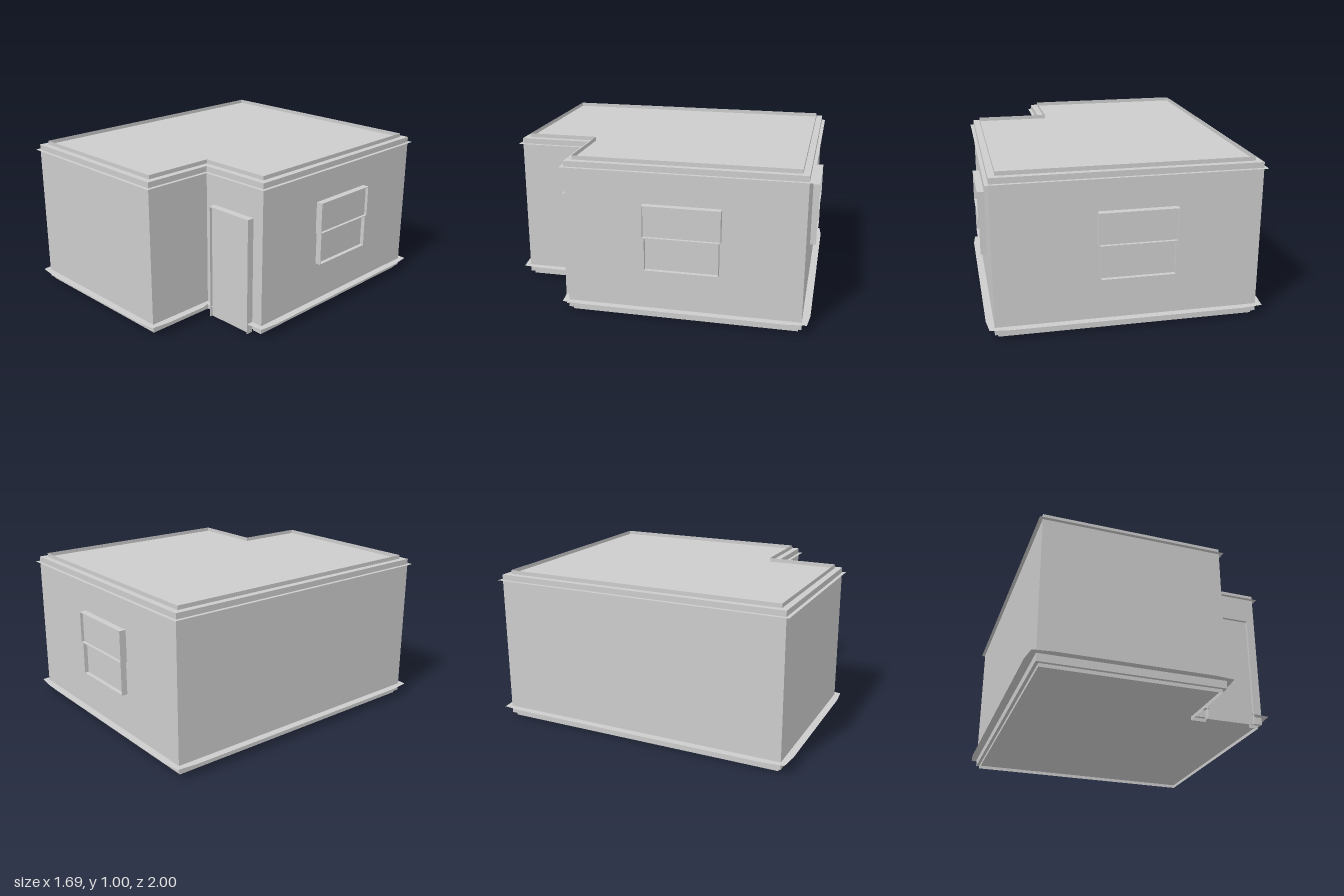
import * as THREE from 'three';

const plaster = new THREE.MeshStandardMaterial({ color: 0xcccccc, side: THREE.DoubleSide });
plaster.name = 'plaster';

// L-shaped plan as [x, z], walked so that outward lies on the right
const PLAN = [[0.8, 0.5], [0.8, -0.95], [-0.8, -0.95], [-0.8, 0.953], [0.33, 0.953], [0.33, 0.5]];
const DOOR = { x0: 0.4, x1: 0.725, top: 0.745 };

function mesh(name, geometry) {
  const m = new THREE.Mesh(geometry, plaster);
  m.name = name;
  return m;
}

function box(name, w, h, d, x, y, z) {
  const m = mesh(name, new THREE.BoxGeometry(w, h, d));
  m.position.set(x, y, z);
  return m;
}

// Adds points near the ends of long runs so the flange can taper at corners
function subdivide(path, closed) {
  const out = [];
  path.forEach((p, i) => {
    out.push(p);
    if (!closed && i === path.length - 1) return;
    const q = path[(i + 1) % path.length];
    const len = Math.hypot(q[0] - p[0], q[1] - p[1]);
    if (len < 0.3) return;
    for (const t of [0.09 / len, 1 - 0.09 / len]) {
      out.push([p[0] + (q[0] - p[0]) * t, p[1] + (q[1] - p[1]) * t]);
    }
  });
  return out;
}

// Thin sheet moulding: sweeps a profile of [outward offset, y, corner scale] along a path
function moulding(name, plan, profile, closed) {
  const path = subdivide(plan, closed);
  const n = path.length;
  const normal = (i) => {
    const a = path[(i + n) % n], b = path[(i + 1) % n];
    const len = Math.hypot(b[0] - a[0], b[1] - a[1]);
    return [-(b[1] - a[1]) / len, (b[0] - a[0]) / len];
  };
  const point = (i, [d, y, cornerScale = 1]) => {
    i %= n;
    const n0 = normal(!closed && i === 0 ? 0 : i - 1);
    const n1 = normal(!closed && i === n - 1 ? i - 1 : i);
    const corner = Math.abs(n0[0] * n1[0] + n0[1] * n1[1]) < 0.5;
    const ox = corner ? n0[0] + n1[0] : n0[0];
    const oz = corner ? n0[1] + n1[1] : n0[1];
    const k = d * (corner ? cornerScale : 1);
    return [path[i][0] + ox * k, y, path[i][1] + oz * k];
  };
  const pos = [];
  for (let i = 0; i < (closed ? n : n - 1); i++) {
    for (let j = 0; j < profile.length - 1; j++) {
      const a = point(i, profile[j]), b = point(i + 1, profile[j]);
      const c = point(i + 1, profile[j + 1]), d = point(i, profile[j + 1]);
      pos.push(...a, ...b, ...c, ...a, ...c, ...d);
    }
  }
  const g = new THREE.BufferGeometry();
  g.setAttribute('position', new THREE.Float32BufferAttribute(pos, 3));
  g.computeVertexNormals();
  return mesh(name, g);
}

// Thin jamb sheets around an opening, facing +z from z = 0
function jambs(group, w, y0, y1, depth, hasSill) {
  const t = 0.004, h = y1 - y0;
  for (const s of [-1, 1]) {
    group.add(box('sideJamb', t, h, depth, s * (w - t) / 2, y0 + h / 2, depth / 2));
  }
  group.add(box('headJamb', w, t, depth, 0, y1 - t / 2, depth / 2));
  if (hasSill) group.add(box('sill', w, t, depth, 0, y0 + t / 2, depth / 2));
}

// Two-sash window: the upper sash stands further out than the lower one
function createWindow(name) {
  const g = new THREE.Group();
  g.name = name;
  const mid = 0.54;
  const upper = new THREE.Group(), lower = new THREE.Group();
  upper.name = 'upperSash';
  lower.name = 'lowerSash';
  jambs(upper, 0.475, mid, 0.742, 0.043, true);
  upper.add(box('upperPane', 0.47, 0.2, 0.004, 0, 0.641, 0.022));
  jambs(lower, 0.455, 0.328, mid, 0.038, true);
  lower.add(box('lowerPane', 0.45, 0.21, 0.004, 0, 0.434, 0.01));
  g.add(upper, lower);
  return g;
}

export function createModel() {
  const model = new THREE.Group();
  model.name = 'room';

  // Walls, floor and ceiling
  const shape = new THREE.Shape(PLAN.map(([x, z]) => new THREE.Vector2(x, -z)));
  const shell = new THREE.ExtrudeGeometry(shape, { depth: 0.953, bevelEnabled: false });
  shell.rotateX(-Math.PI / 2).translate(0, 0.022, 0);
  model.add(mesh('roomShell', shell));

  // Crown moulding runs all round; the baseboard stops at the door
  model.add(moulding('crownMoulding', PLAN, [[-0.04, 1], [-0.04, 0.94], [0.022, 0.94]], true));
  const basePlan = [[DOOR.x1 - 0.01, 0.5], ...PLAN, [DOOR.x0 + 0.012, 0.5]];
  model.add(moulding('baseboard', basePlan, [[-0.02, 0], [-0.02, 0.07], [0.046, 0.07, 0.7]], false));

  // Door in the notch
  const door = new THREE.Group();
  door.name = 'door';
  const w = DOOR.x1 - DOOR.x0;
  jambs(door, w, 0.003, DOOR.top, 0.046, false);
  door.add(box('doorPanel', w - 0.004, DOOR.top - 0.004, 0.004, 0, DOOR.top / 2, 0.026));
  door.position.set((DOOR.x0 + DOOR.x1) / 2, 0, 0.5);
  model.add(door);

  // Windows in the left and back walls
  const sideWindow = createWindow('sideWindow');
  sideWindow.rotation.y = Math.PI / 2;
  sideWindow.position.set(0.8, 0, -0.223);
  const backWindow = createWindow('backWindow');
  backWindow.rotation.y = Math.PI;
  backWindow.position.set(-0.045, 0, -0.95);
  model.add(sideWindow, backWindow);

  return model;
}
